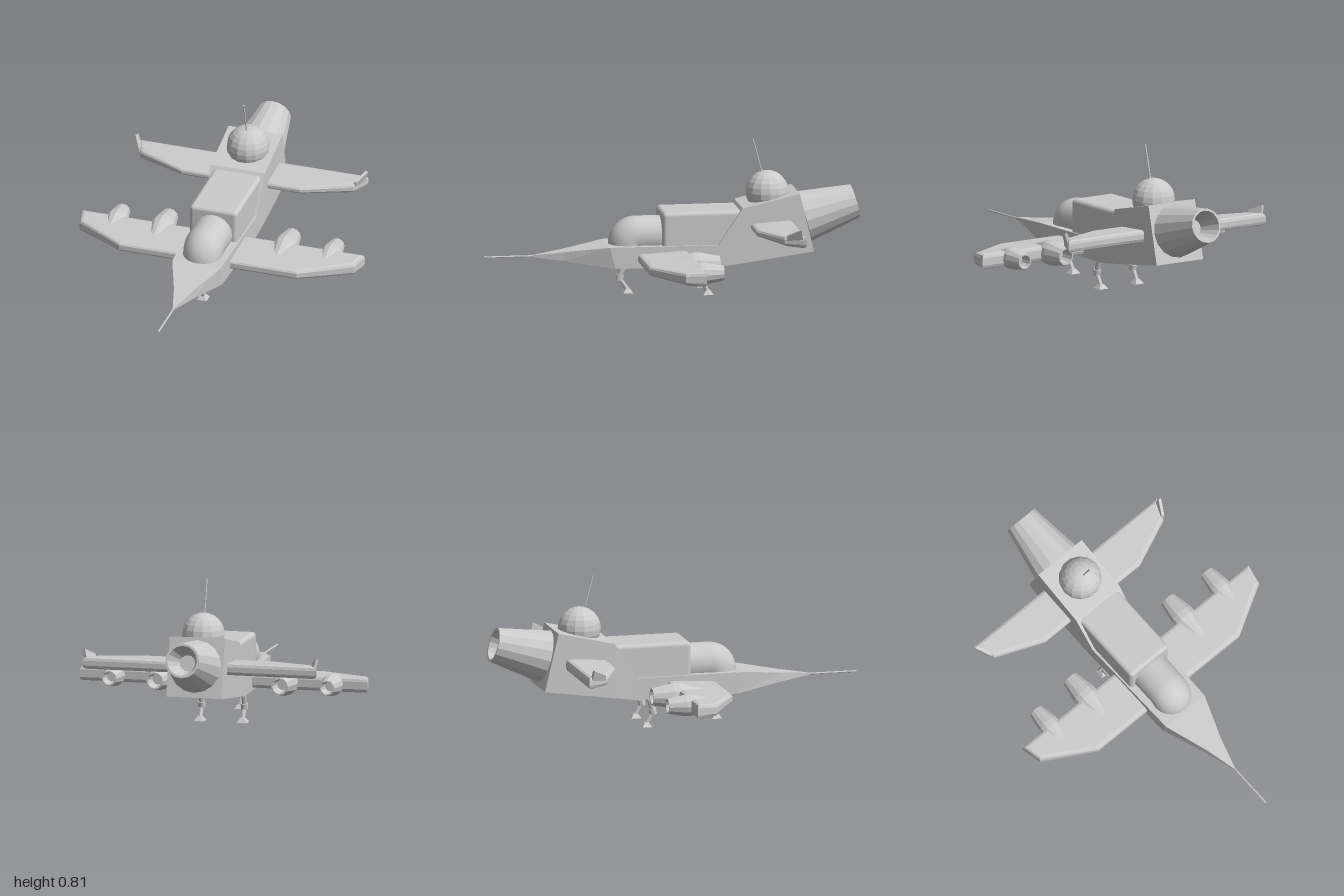
import * as THREE from 'three';
import { RoundedBoxGeometry } from 'three/addons/geometries/RoundedBoxGeometry.js';

const flat = new THREE.MeshStandardMaterial({ color: 0xcccccc, flatShading: true });
const smooth = new THREE.MeshStandardMaterial({ color: 0xcccccc });
const open = new THREE.MeshStandardMaterial({ color: 0xcccccc, flatShading: true, side: THREE.DoubleSide });

function add(parent, name, geometry, material = flat, x = 0, y = 0, z = 0) {
  const mesh = new THREE.Mesh(geometry, material);
  mesh.name = name;
  mesh.position.set(x, y, z);
  parent.add(mesh);
  return mesh;
}

// Cylinder or cone between two points
function rod(parent, name, a, b, ra, rb = ra, sides = 8) {
  const p = new THREE.Vector3(...a), q = new THREE.Vector3(...b);
  const d = q.clone().sub(p);
  const mesh = add(parent, name, new THREE.CylinderGeometry(rb, ra, d.length(), sides));
  mesh.position.copy(p).add(q).multiplyScalar(0.5);
  mesh.quaternion.setFromUnitVectors(new THREE.Vector3(0, 1, 0), d.normalize());
  return mesh;
}

// Box-like loft; each section is [halfWidth, topZ, topY, bottomZ, bottomY], front to back
function loft(sections) {
  const pos = [], idx = [];
  for (const [w, tz, ty, bz, by] of sections) {
    pos.push(-w, by, bz, w, by, bz, w, ty, tz, -w, ty, tz);
  }
  for (let i = 0; i < sections.length - 1; i++) {
    for (let j = 0; j < 4; j++) {
      const a = i * 4 + j, b = i * 4 + (j + 1) % 4;
      idx.push(a, a + 4, b + 4, a, b + 4, b);
    }
  }
  const e = (sections.length - 1) * 4;
  idx.push(0, 1, 2, 0, 2, 3, e, e + 2, e + 1, e, e + 3, e + 2);
  const g = new THREE.BufferGeometry();
  g.setAttribute('position', new THREE.Float32BufferAttribute(pos, 3));
  g.setIndex(idx);
  const out = g.toNonIndexed();
  out.computeVertexNormals();
  return out;
}

// Bevelled slab from an [x, z] outline, thinning towards its leading edge
function wing(outline, side, thickness, frontScale) {
  const bevel = 0.02;
  const shape = new THREE.Shape(outline.map(([x, z]) => new THREE.Vector2(side * x, -z)));
  const g = new THREE.ExtrudeGeometry(shape, {
    depth: thickness - 2 * bevel, bevelThickness: bevel, bevelSize: bevel,
    bevelOffset: -bevel, bevelSegments: 2,
  });
  g.rotateX(-Math.PI / 2);
  g.translate(0, bevel - thickness / 2, 0);
  g.computeBoundingBox();
  const { min, max } = g.boundingBox, p = g.attributes.position;
  for (let i = 0; i < p.count; i++) {
    const t = (p.getZ(i) - min.z) / (max.z - min.z);
    p.setY(i, p.getY(i) * (1 + (frontScale - 1) * t));
  }
  g.computeVertexNormals();
  return g;
}

const lathe = (points, sides) =>
  new THREE.LatheGeometry(points.map(([r, y]) => new THREE.Vector2(r, y)), sides);

function createModel() {
  const model = new THREE.Group();
  model.name = 'aircraft';
  const body = new THREE.Group();
  body.name = 'body';
  body.position.x = -0.014;
  model.add(body);

  // Fuselage with pointed nose and raised rear
  add(body, 'fuselage', loft([
    [0.005, 0.74, 0.215, 0.74, 0.205],
    [0.05, 0.58, 0.235, 0.58, 0.187],
    [0.134, 0.35, 0.267, 0.32, 0.153],
    [0.146, -0.227, 0.267, -0.233, 0.15],
    [0.15, -0.356, 0.46, -0.356, 0.167],
    [0.15, -0.66, 0.53, -0.735, 0.22],
  ]));
  rod(body, 'noseProbe', [0, 0.21, 0.72], [0, 0.21, 1], 0.005);

  // Cabin and elbow-shaped canopy
  add(body, 'cabin', new RoundedBoxGeometry(0.265, 0.24, 0.43, 3, 0.022), smooth, 0, 0.325, -0.148);
  const elbow = new THREE.TorusGeometry(0.042, 0.106, 20, 14, Math.PI / 2);
  elbow.rotateY(-Math.PI / 2);
  add(body, 'canopyFront', elbow, smooth, 0, 0.263, 0.193);
  const tube = new THREE.CylinderGeometry(0.106, 0.106, 0.16, 20);
  tube.rotateX(Math.PI / 2);
  add(body, 'canopyRear', tube, smooth, 0, 0.305, 0.113);

  // Dome and antenna
  add(body, 'dome', new THREE.SphereGeometry(0.114, 14, 12), flat, 0.008, 0.522, -0.507);
  rod(body, 'antenna', [0.008, 0.62, -0.48], [0.008, 0.805, -0.432], 0.004);

  // Tail nozzle, hollow at the back
  const nozzle = add(body, 'tailNozzle', lathe([
    [0, 0], [0.14, 0], [0.092, 0.286], [0.08, 0.286], [0.042, 0.17], [0, 0.17],
  ], 16), open, 0, 0.382, -0.70);
  nozzle.quaternion.setFromUnitVectors(
    new THREE.Vector3(0, 1, 0), new THREE.Vector3(0, 0.076, -0.276).normalize());

  // Wings, winglets and engines, mirrored
  const rearOutline = [[0.05, -0.62], [0.637, -0.62], [0.59, -0.51], [0.33, -0.40], [0.05, -0.40]];
  const mainOutline = [[0.05, -0.065], [0.783, -0.065], [0.76, 0.045], [0.49, 0.20], [0.05, 0.20]];
  const fin = new THREE.Shape([[0.52, 0.365], [0.61, 0.36], [0.605, 0.432], [0.525, 0.395]]
    .map(([z, y]) => new THREE.Vector2(z - 0.565, y - 0.36)));
  for (const side of [1, -1]) {
    const label = side > 0 ? 'left' : 'right';
    add(body, label + 'RearWing', wing(rearOutline, side, 0.066, 0.55), flat, 0, 0.358, 0);
    add(model, label + 'MainWing', wing(mainOutline, side, 0.08, 0.6), flat, 0, 0.203, 0);

    const finGeo = new THREE.ExtrudeGeometry(fin, { depth: 0.016, bevelEnabled: false });
    finGeo.translate(0, 0, -0.008);
    finGeo.rotateY(Math.PI / 2);
    const winglet = add(body, label + 'Winglet', finGeo, flat, side * 0.602, 0.36, -0.565);
    winglet.rotation.set(0, -side * 0.37, -side * 0.3, 'YXZ');

    for (const [name, x, s, z] of [['InnerEngine', 0.34, 1, -0.07], ['OuterEngine', 0.593, 0.87, -0.068]]) {
      const g = lathe([
        [0, -0.22], [0.012, -0.22], [0.067, -0.015], [0.067, 0.02], [0.046, 0.13],
        [0.039, 0.13], [0.03, 0.06], [0, 0.06],
      ], 12);
      g.rotateX(-Math.PI / 2);
      g.scale(s, s, s);
      add(model, label + name, g, open, side * x, 0.203, z);
    }
  }

  // Landing legs: one at the front, two behind
  const legs = [['frontLeg', 0, 0.25, 1], ['leftRearLeg', 0.112, -0.163, 0.85], ['rightRearLeg', -0.12, -0.163, 0.85]];
  for (const [name, x, z, bend] of legs) {
    const leg = new THREE.Group();
    leg.name = name;
    leg.position.set(x, 0, z);
    body.add(leg);
    const knee = 0.03 * bend, ankle = -0.015 * bend;
    rod(leg, 'upperStrut', [0, 0.17, -0.005], [0, 0.08, knee], 0.014);
    rod(leg, 'knee', [0, 0.096, knee - 0.006], [0, 0.066, knee], 0.02);
    rod(leg, 'lowerStrut', [0, 0.08, knee], [0, 0.015, ankle], 0.011);
    const foot = new THREE.CylinderGeometry(0.015, 0.039, 0.024, 4);
    foot.rotateY(Math.PI / 4);
    add(leg, 'foot', foot, flat, 0, 0.012, ankle);
  }
  return model;
}

export { createModel };
